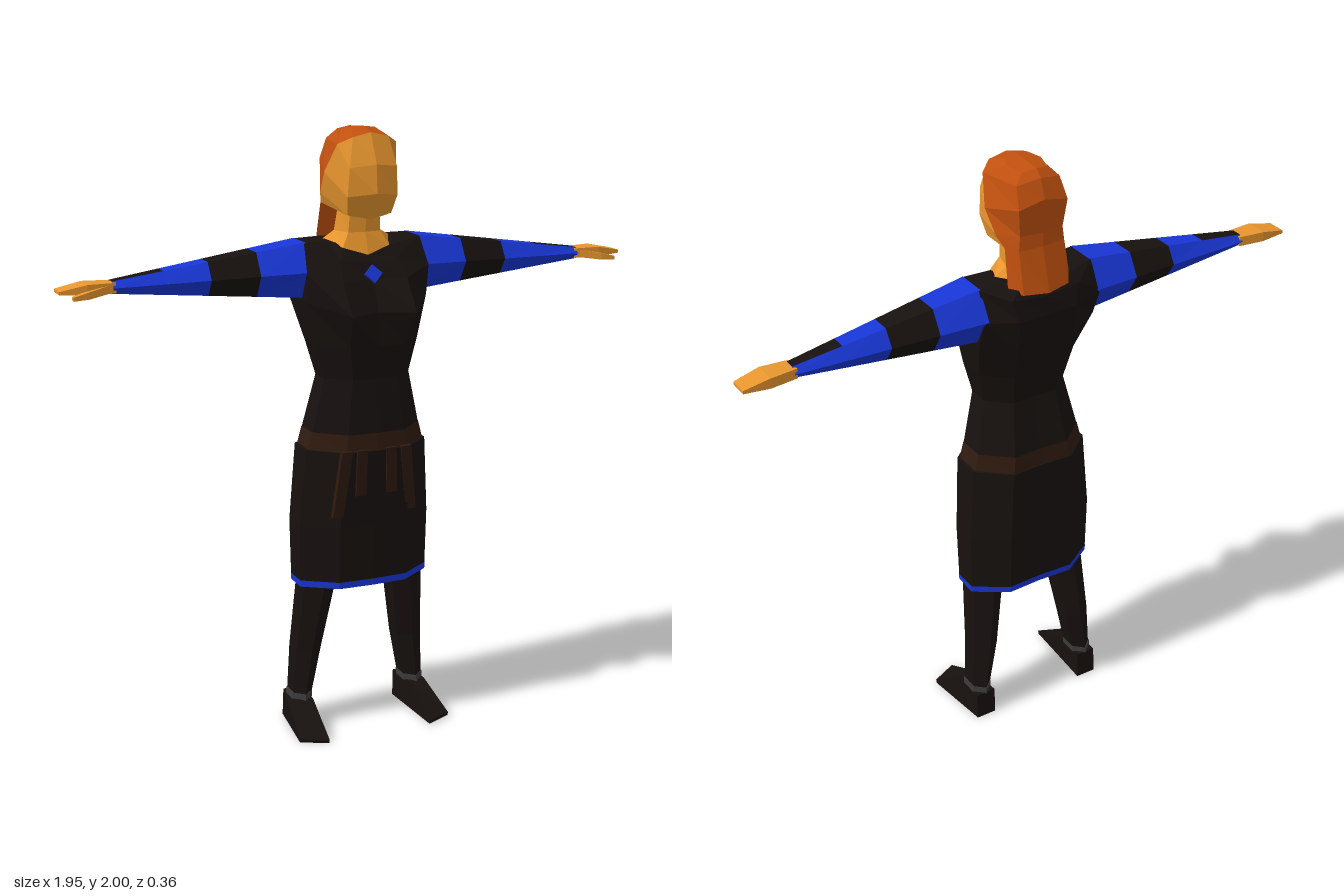
import * as THREE from 'three';

const SKIN = 0xe8962e, HAIR = 0xc0500f, CLOTH = 0x17110f, BLUE = 0x1836d6, LEATHER = 0x2f1a0f, GREY = 0x3c3c3c;

// Skins successive rings (counterclockwise seen from the first ring's outer side).
function loft(name, color, rings, { closed = true, capStart = false, capEnd = false } = {}) {
  const pos = [];
  const tri = (a, b, c) => pos.push(...a, ...b, ...c);
  const n = rings[0].length;
  for (let i = 0; i + 1 < rings.length; i++) {
    for (let j = 0; j < (closed ? n : n - 1); j++) {
      const k = (j + 1) % n, up = rings[i], low = rings[i + 1];
      tri(up[j], low[j], low[k]);
      tri(up[j], low[k], up[k]);
    }
  }
  const first = rings[0], last = rings[rings.length - 1];
  for (let j = 1; j + 1 < n; j++) {
    if (capStart) tri(first[0], first[j], first[j + 1]);
    if (capEnd) tri(last[0], last[j + 1], last[j]);
  }
  const geo = new THREE.BufferGeometry();
  geo.setAttribute('position', new THREE.Float32BufferAttribute(pos, 3));
  geo.computeVertexNormals();
  const mat = new THREE.MeshStandardMaterial({ color, flatShading: true, side: THREE.DoubleSide });
  const mesh = new THREE.Mesh(geo, mat);
  mesh.name = name;
  return mesh;
}

const flip = ([x, y, z]) => [-x, y, z];
// Half outlines run from front centre round the left side to back centre.
const whole = h => [...h, ...h.slice(1, -1).reverse().map(flip)];
const frontStrip = h => [...h.slice(1).reverse().map(flip), ...h];
const backStrip = h => [...h, ...h.slice(0, -1).reverse().map(flip)];
// Moves a left-side ring to the chosen side, keeping its winding.
const toSide = (ring, s) => (s > 0 ? ring : ring.map(flip).reverse());

// Level half outline of the lower body
function girth(y, w, zf, zb) {
  const d = zf - zb;
  return [[0, y, zf], [w * 0.52, y, zf - 0.005], [w, y, zb + d * 0.66],
    [w, y, zb + d * 0.3], [w * 0.52, y, zb], [0, y, zb + 0.005]];
}

// Six-sided section across the arm, or across the leg
const hex = f => Array.from({ length: 6 }, (_, i) => f(Math.cos(i * Math.PI / 3), Math.sin(i * Math.PI / 3) / 0.866));
function armRing(x) {
  const t = (x - 0.195) / 0.615, L = THREE.MathUtils.lerp;
  return hex((c, s) => [x, L(1.557, 1.54, t) + s * L(0.088, 0.019, t), L(-0.047, -0.057, t) + c * L(0.103, 0.035, t)]);
}
const legRing = ([y, cx, cz, rx, rz]) => hex((c, s) => [cx + s * rx, y, cz + c * rz]);
// Rectangular section of a hand part
const handRing = (x, y0, y1, z0, z1) => [[x, y0, z1], [x, y1, z1], [x, y1, z0], [x, y0, z0]];

function buildHead() {
  const head = new THREE.Group();
  head.name = 'head';
  // Columns: front centre, cheek, hairline, back of side, back centre
  const rows = [
    [[0, 1.985, 0.07], [0.06, 1.972, 0.07], [0.1, 1.95, 0.04], [0.075, 1.955, -0.11], [0, 1.97, -0.125]],
    [[0, 1.89, 0.115], [0.08, 1.88, 0.09], [0.124, 1.86, -0.01], [0.085, 1.89, -0.14], [0, 1.91, -0.147]],
    [[0, 1.8, 0.12], [0.085, 1.79, 0.085], [0.117, 1.79, -0.06], [0.075, 1.8, -0.13], [0, 1.8, -0.137]],
    [[0, 1.715, 0.075], [0.075, 1.73, 0.06], [0.104, 1.755, -0.09], [0.08, 1.755, -0.132], [0, 1.755, -0.14]],
  ];
  const crown = [[0, 2, 0.015], [0.04, 1.995, 0.01], [0.06, 1.988, -0.03], [0.045, 1.985, -0.09], [0, 1.992, -0.1]];
  const tips = [[0.11, 1.62, -0.12], [0.08, 1.62, -0.16], [0, 1.615, -0.177]];
  head.add(
    loft('face', SKIN, rows.map(r => frontStrip(r.slice(0, 3))), { closed: false, capEnd: true }),
    loft('hairCrown', HAIR, [crown, rows[0]].map(whole), { capStart: true }),
    loft('hairBack', HAIR, [...rows.map(r => r.slice(2)), tips].map(backStrip), { closed: false }),
    loft('neck', SKIN, [
      [[0, 1.75, 0.035], [0.05, 1.75, 0.025], [0.065, 1.75, -0.04], [0, 1.75, -0.1]],
      [[0, 1.67, 0.03], [0.055, 1.67, 0.02], [0.075, 1.67, -0.05], [0, 1.67, -0.11]],
      [[0, 1.6, 0.05], [0.08, 1.625, 0.035], [0.115, 1.645, -0.05], [0, 1.63, -0.15]],
    ].map(whole)));
  return head;
}

function buildBody() {
  const body = new THREE.Group();
  body.name = 'body';
  // Bodice: neckline, shoulders, armpits and bust, then the level waist
  const bodice = [
    [[0, 1.6, 0.05], [0.075, 1.622, 0.035], [0.11, 1.645, -0.01], [0.11, 1.645, -0.09], [0.08, 1.64, -0.14], [0, 1.63, -0.15]],
    [[0, 1.58, 0.068], [0.1, 1.59, 0.06], [0.2, 1.643, 0.005], [0.2, 1.643, -0.1], [0.12, 1.61, -0.16], [0, 1.6, -0.165]],
    [[0, 1.53, 0.09], [0.11, 1.53, 0.108], [0.21, 1.555, 0.055], [0.21, 1.555, -0.145], [0.1, 1.54, -0.175], [0, 1.54, -0.172]],
    [[0, 1.43, 0.13], [0.11, 1.43, 0.182], [0.207, 1.46, 0.045], [0.207, 1.46, -0.11], [0.1, 1.44, -0.162], [0, 1.44, -0.155]],
    girth(1.32, 0.177, 0.13, -0.128), girth(1.21, 0.148, 0.11, -0.098), girth(1.03, 0.188, 0.12, -0.138),
  ];
  body.add(
    loft('bodice', CLOTH, bodice.map(whole), { capStart: true }),
    loft('belt', LEATHER, [girth(1.035, 0.188, 0.122, -0.14), girth(0.975, 0.203, 0.127, -0.146)].map(whole)),
    loft('skirt', CLOTH, [girth(0.98, 0.19, 0.12, -0.14), girth(0.978, 0.21, 0.131, -0.15),
      girth(0.72, 0.229, 0.105, -0.15), girth(0.528, 0.226, 0.092, -0.141)].map(whole)),
    loft('hem', BLUE, [girth(0.53, 0.227, 0.093, -0.142), girth(0.508, 0.226, 0.092, -0.141)].map(whole)));

  // Hanging belt straps: top x, bottom x, bottom y
  for (const [x0, x1, y] of [[-0.108, -0.128, 0.76], [-0.055, -0.055, 0.83], [0.045, 0.055, 0.83], [0.098, 0.13, 0.76]]) {
    const zLow = 0.131 - (0.978 - y) * 0.1 + 0.004 - Math.max(0, Math.abs(x1) - 0.11) * 0.5;
    const strap = (x, py, z) => [[x - 0.018, py, z], [x + 0.018, py, z], [x + 0.018, py, z - 0.02], [x - 0.018, py, z - 0.02]];
    body.add(loft('beltStrap', LEATHER, [strap(x0, 0.985, 0.136), strap(x1, y, zLow)], { capStart: true, capEnd: true }));
  }

  // Diamond brooch lying on the chest
  const brooch = new THREE.Mesh(new THREE.CylinderGeometry(0.03, 0.03, 0.012, 4),
    new THREE.MeshStandardMaterial({ color: BLUE, flatShading: true }));
  brooch.name = 'brooch';
  brooch.rotation.x = Math.PI / 2 - 0.4;
  brooch.position.set(0, 1.545, 0.09);
  body.add(brooch);
  return body;
}

function buildArm(s) {
  const arm = new THREE.Group();
  arm.name = s > 0 ? 'leftArm' : 'rightArm';
  const add = (name, color, rings, opts) => arm.add(loft(name, color, rings.map(r => toSide(r, s)), opts));
  // Striped sleeve
  const cuts = [0.195, 0.355, 0.51, 0.65];
  for (let i = 0; i < 3; i++) add('sleeveStripe', i % 2 ? CLOTH : BLUE, [armRing(cuts[i]), armRing(cuts[i + 1])]);
  // Forearm: dark along the top, bright elsewhere
  const fore = [armRing(0.65), armRing(0.81)];
  add('forearmTop', CLOTH, fore.map(r => r.slice(1, 3)), { closed: false });
  add('forearm', BLUE, fore.map(r => [...r.slice(2), ...r.slice(0, 2)]), { closed: false });
  // Hand and thumb
  add('hand', SKIN, [handRing(0.8, 1.524, 1.556, -0.088, -0.028), handRing(0.89, 1.524, 1.557, -0.1, -0.022),
    handRing(0.975, 1.53, 1.54, -0.096, -0.032)], { capStart: true, capEnd: true });
  add('thumb', SKIN, [handRing(0.82, 1.525, 1.55, -0.055, -0.026), handRing(0.89, 1.516, 1.538, -0.03, -0.002),
    handRing(0.94, 1.514, 1.526, -0.016, 0.002)], { capStart: true, capEnd: true });
  return arm;
}

function buildLeg(s) {
  const leg = new THREE.Group();
  leg.name = s > 0 ? 'leftLeg' : 'rightLeg';
  const add = (name, color, rings, opts) => leg.add(loft(name, color, rings.map(r => toSide(r, s)), opts));
  add('trouserLeg', CLOTH, [[0.9, 0.1, -0.01, 0.09, 0.095], [0.51, 0.157, -0.025, 0.055, 0.078],
    [0.27, 0.185, -0.055, 0.044, 0.064], [0.1, 0.206, -0.061, 0.032, 0.059]].map(legRing), { capStart: true });
  add('ankleBand', GREY, [[0.115, 0.205, -0.061, 0.035, 0.062], [0.092, 0.206, -0.061, 0.035, 0.062]].map(legRing),
    { capStart: true, capEnd: true });
  // Shoe: ankle opening spreading to a splayed, pointed toe
  add('shoe', CLOTH, [
    [[0.178, 0.095, -0.005], [0.24, 0.095, -0.01], [0.24, 0.095, -0.12], [0.172, 0.095, -0.12]],
    [[0.184, 0.012, 0.155], [0.272, 0.012, 0.115], [0.242, 0.012, -0.124], [0.172, 0.012, -0.124]],
    [[0.184, 0, 0.152], [0.272, 0, 0.112], [0.242, 0, -0.124], [0.172, 0, -0.124]],
  ], { capStart: true, capEnd: true });
  return leg;
}

export function createModel() {
  const model = new THREE.Group();
  model.name = 'figure';
  model.add(buildHead(), buildBody());
  for (const s of [1, -1]) model.add(buildArm(s), buildLeg(s));
  return model;
}
